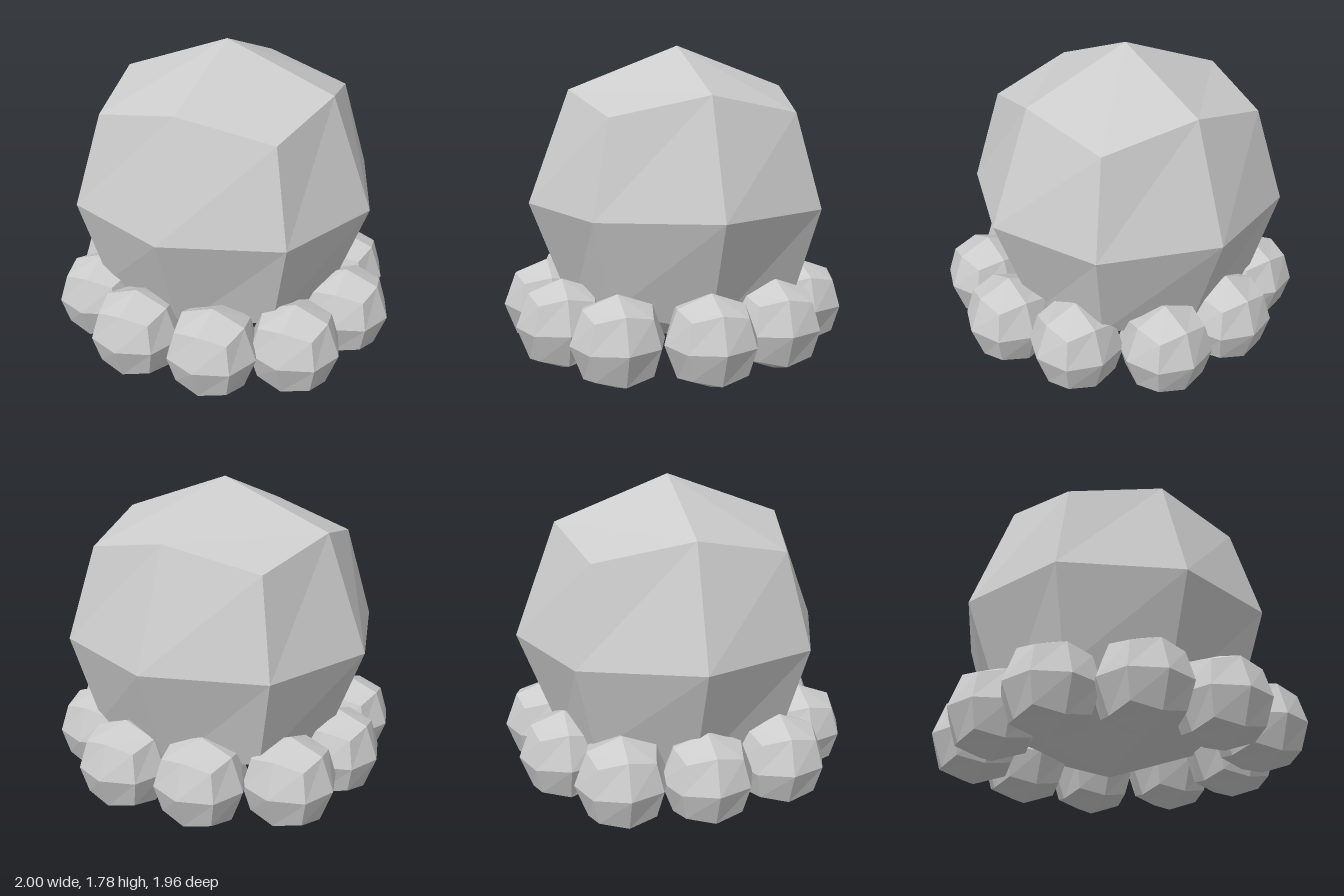
import * as THREE from 'three';

// Faceted ball: a cube split 2x2 per side, rounded out by vertex kind
function ballGeometry(radius) {
  const box = new THREE.BoxGeometry(2, 2, 2, 2, 2, 2);
  const pos = box.attributes.position;
  const scale = [0, 1, 0.727, 0.598]; // side centre, edge middle, corner
  const v = new THREE.Vector3();
  for (let i = 0; i < pos.count; i++) {
    v.fromBufferAttribute(pos, i).round();
    const kind = Math.abs(v.x) + Math.abs(v.y) + Math.abs(v.z);
    v.multiplyScalar(radius * scale[kind]);
    pos.setXYZ(i, v.x, v.y, v.z);
  }
  const flat = box.toNonIndexed();
  flat.computeVertexNormals();
  return flat;
}

export function createModel() {
  const group = new THREE.Group();
  const grey = new THREE.MeshStandardMaterial({ color: 0xcccccc, flatShading: true });
  grey.name = 'light grey';

  // Large central ball
  const body = new THREE.Mesh(ballGeometry(0.878), grey);
  body.name = 'body';
  body.position.set(-0.035, 0.9, -0.035);
  group.add(body);

  // Uneven ring of small balls around the base, as [x, z]
  const spots = [
    [0.19, -0.727], [-0.277, -0.69], [-0.682, -0.442], [-0.743, 0.01], [-0.618, 0.463],
    [-0.237, 0.718], [0.229, 0.708], [0.618, 0.483], [0.743, 0.008], [0.573, -0.423],
  ];
  const ring = new THREE.Group();
  ring.name = 'baseRing';
  const small = ballGeometry(0.258);
  spots.forEach(([x, z], i) => {
    const ball = new THREE.Mesh(small, grey);
    ball.name = `baseBall${i + 1}`;
    ball.position.set(x, 0.26, z);
    ring.add(ball);
  });
  group.add(ring);
  return group;
}
